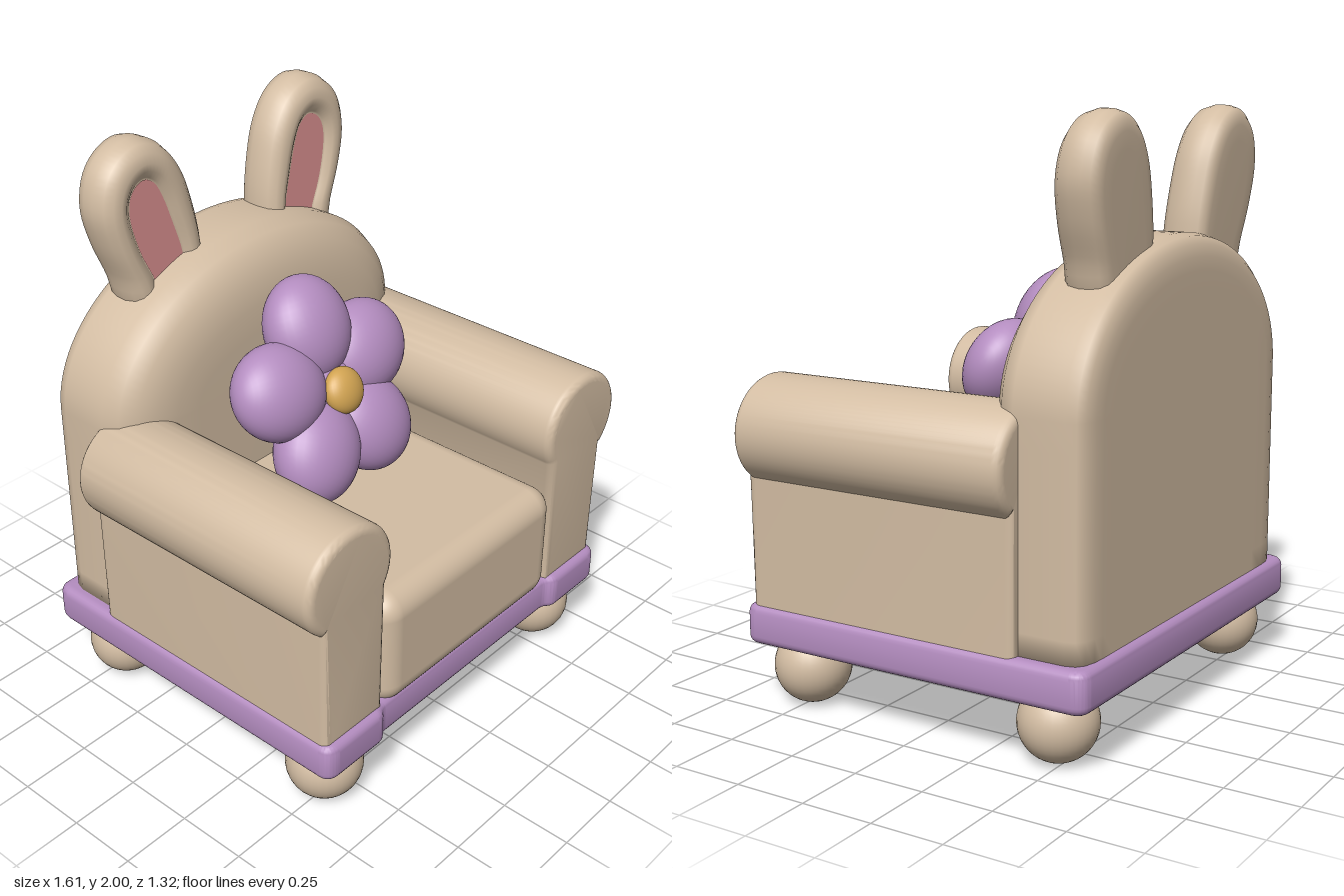
import * as THREE from 'three';
import { toCreasedNormals } from 'three/addons/utils/BufferGeometryUtils.js';
import { RoundedBoxGeometry } from 'three/addons/geometries/RoundedBoxGeometry.js';

const mat = (name, color) => {
  const m = new THREE.MeshStandardMaterial({ color });
  m.name = name;
  return m;
};

// Skin closed rings (counter-clockwise, ordered front to back) and cap both ends
function loft(rings) {
  const n = rings[0].length, last = rings.length - 1;
  const centre = (r) => r.reduce((s, p) => s.add(p), new THREE.Vector3()).divideScalar(n);
  const pts = [...rings.flat(), centre(rings[0]), centre(rings[last])];
  const front = pts.length - 2, back = pts.length - 1, index = [];
  for (let j = 0; j < n; j++) {
    const k = (j + 1) % n;
    for (let i = 0; i < last; i++) {
      const a = i * n + j, b = i * n + k;
      index.push(a, a + n, b, b, a + n, b + n);
    }
    index.push(front, j, k, back, last * n + k, last * n + j);
  }
  const g = new THREE.BufferGeometry().setFromPoints(pts);
  g.setIndex(index);
  g.computeVertexNormals();
  return g;
}

// Extrude with a rounded edge that stays inside the outline
function softExtrude(shape, length, bevel) {
  const g = new THREE.ExtrudeGeometry(shape, {
    depth: length - 2 * bevel, curveSegments: 28, bevelEnabled: true,
    bevelThickness: bevel, bevelSize: bevel, bevelOffset: -bevel, bevelSegments: 5,
  });
  g.translate(0, 0, bevel);
  return toCreasedNormals(g, 0.7);
}

export function createModel() {
  const model = new THREE.Group();
  model.name = 'bunnyArmchair';
  const fabric = mat('beigeFabric', 0xd3bda3);
  const purple = mat('purpleFabric', 0xb48dc0);
  const pink = mat('pinkFabric', 0xd98f8f);
  const gold = mat('goldFabric', 0xd2a452);

  const add = (parent, name, geometry, material, x = 0, y = 0, z = 0) => {
    const m = new THREE.Mesh(geometry, material);
    m.name = name;
    m.position.set(x, y, z);
    parent.add(m);
    return m;
  };

  // Base plinth, its front stepped in slightly between the arms
  const plan = new THREE.Shape();
  plan.moveTo(-0.69, -0.655);
  plan.lineTo(0.69, -0.655);
  plan.quadraticCurveTo(0.74, -0.655, 0.745, -0.6);
  plan.lineTo(0.745, 0.61);
  plan.quadraticCurveTo(0.745, 0.66, 0.69, 0.66);
  plan.lineTo(0.5, 0.66);
  plan.bezierCurveTo(0.46, 0.66, 0.47, 0.635, 0.43, 0.635);
  plan.lineTo(-0.43, 0.635);
  plan.bezierCurveTo(-0.47, 0.635, -0.46, 0.66, -0.5, 0.66);
  plan.lineTo(-0.69, 0.66);
  plan.quadraticCurveTo(-0.745, 0.66, -0.745, 0.61);
  plan.lineTo(-0.745, -0.6);
  plan.quadraticCurveTo(-0.74, -0.655, -0.69, -0.655);
  const baseGeo = softExtrude(plan, 0.14, 0.03);
  baseGeo.rotateX(Math.PI / 2);
  add(model, 'base', baseGeo, purple, 0, 0.36, 0);
  add(model, 'baseUnderside', new RoundedBoxGeometry(1.0, 0.08, 1.2, 3, 0.02), purple, 0, 0.24, 0);

  // Seat cushion
  add(model, 'seat', new RoundedBoxGeometry(0.92, 0.44, 1.0, 6, 0.085), fabric, 0, 0.54, 0.15);

  // Arched backrest, softer at the front than at the back
  const arch = (z, d) => {
    const w = 0.7 - d, pts = [];
    for (let i = 0; i < 8; i++) pts.push(new THREE.Vector3(w, 0.34 + 0.095 * i, z));
    for (let i = 0; i <= 48; i++) {
      const a = (Math.PI * i) / 48;
      pts.push(new THREE.Vector3(w * Math.cos(a), 1.1 + (0.5 - d) * Math.sin(a), z));
    }
    for (let i = 7; i >= 0; i--) pts.push(new THREE.Vector3(-w, 0.34 + 0.095 * i, z));
    return pts;
  };
  const backProfile = [
    [-0.245, 0.32], [-0.247, 0.22], [-0.26, 0.14], [-0.285, 0.075], [-0.325, 0.025], [-0.38, 0],
    [-0.56, 0], [-0.595, 0.01], [-0.615, 0.035], [-0.625, 0.075], [-0.627, 0.12], [-0.627, 0.2],
  ];
  add(model, 'backrest', loft(backProfile.map(([z, d]) => arch(z, d))), fabric);

  // Arm section: upright panel with a rolled top
  const armShape = new THREE.Shape();
  armShape.moveTo(0.45, 0.34);
  armShape.lineTo(0.73, 0.34);
  armShape.lineTo(0.73, 0.8);
  armShape.absellipse(0.61, 0.943, 0.197, 0.187, -0.9, Math.PI + 0.55, false);
  armShape.closePath();
  const armGeo = softExtrude(armShape, 1.035, 0.03);

  // Ear outlines: outer edge and inner panel, matched point for point
  const curve = (pts) => new THREE.CatmullRomCurve3(
    pts.map(([x, y]) => new THREE.Vector3(x, y, 0)), true).getPoints(54).slice(0, -1);
  const outer = curve([[0.45, 1.42], [0.5, 1.55], [0.55, 1.68], [0.573, 1.8], [0.545, 1.91],
    [0.48, 1.975], [0.39, 2.0], [0.29, 1.96], [0.22, 1.87], [0.18, 1.75], [0.155, 1.58], [0.17, 1.42]]);
  const inner = curve([[0.36, 1.48], [0.39, 1.54], [0.43, 1.63], [0.46, 1.76], [0.452, 1.82],
    [0.425, 1.855], [0.385, 1.868], [0.345, 1.845], [0.315, 1.79], [0.285, 1.7], [0.25, 1.57], [0.25, 1.49]]);
  const earRing = (z, t) => inner.map((p, i) => {
    const q = p.clone().lerp(outer[i], t);
    q.z = z + (1.55 - q.y) * 0.05;
    return q;
  });
  const earProfile = [
    [-0.437, 0], [-0.43, 0.06], [-0.413, 0.25], [-0.408, 0.45], [-0.415, 0.7], [-0.437, 0.9],
    [-0.48, 1], [-0.52, 0.99], [-0.55, 0.92], [-0.567, 0.75], [-0.572, 0.5], [-0.573, 0.1],
  ];
  const earGeo = loft(earProfile.map(([z, t]) => earRing(z, t)));
  const panelGeo = new THREE.ShapeGeometry(new THREE.Shape(inner.map((p) => new THREE.Vector2(p.x, p.y))));
  const pos = panelGeo.attributes.position;
  for (let i = 0; i < pos.count; i++) pos.setZ(i, -0.433 + (1.55 - pos.getY(i)) * 0.05);
  panelGeo.computeVertexNormals();

  // Arms, ears and feet, mirrored across x
  const footGeo = new THREE.SphereGeometry(0.132, 32, 24);
  for (const side of [1, -1]) {
    const half = new THREE.Group();
    half.name = side > 0 ? 'leftSide' : 'rightSide';
    half.scale.x = side;
    add(half, 'arm', armGeo, fabric, 0, 0, -0.4);
    add(half, 'ear', earGeo, fabric);
    add(half, 'innerEar', panelGeo, pink);
    add(half, 'frontFoot', footGeo, fabric, 0.585, 0.132, 0.497);
    add(half, 'backFoot', footGeo, fabric, 0.585, 0.132, -0.475);
    model.add(half);
  }

  // Flower cushion leaning against the backrest
  const flower = new THREE.Group();
  flower.name = 'flowerCushion';
  flower.position.set(0.015, 1.09, -0.03);
  flower.rotation.x = -0.42;
  const ball = new THREE.SphereGeometry(1, 36, 24);
  for (let i = 0; i < 5; i++) {
    const a = (i * Math.PI * 2) / 5;
    const petal = add(flower, 'petal', ball, purple, -0.22 * Math.sin(a), 0.22 * Math.cos(a), 0);
    petal.rotation.z = a;
    petal.scale.set(0.17, 0.187, 0.125);
  }
  add(flower, 'flowerCore', ball, purple).scale.set(0.13, 0.13, 0.085);
  add(flower, 'flowerCentre', ball, gold, 0, -0.012, 0.08).scale.set(0.082, 0.082, 0.05);
  model.add(flower);

  return model;
}
